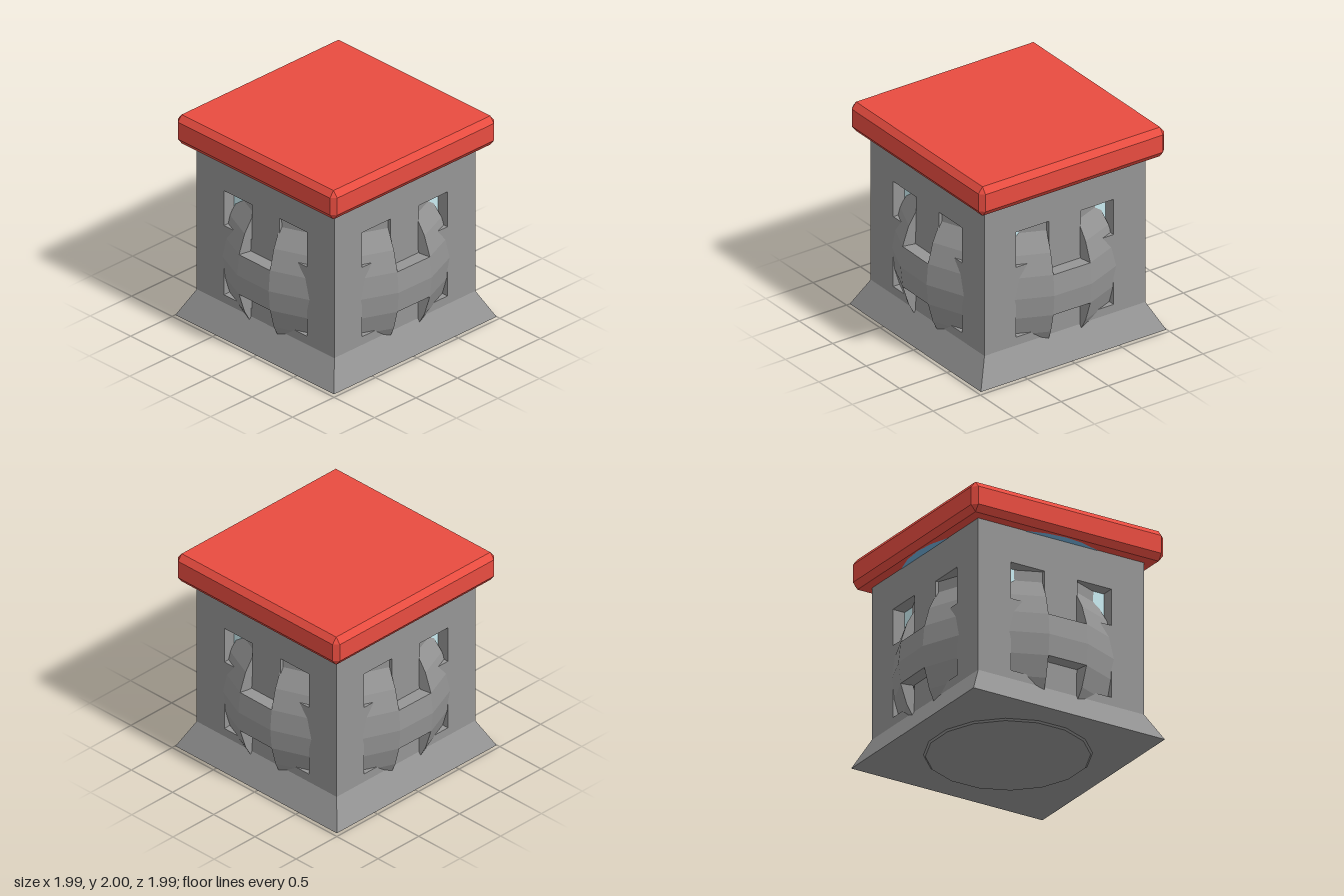
import * as THREE from 'three';
import { ConvexGeometry } from 'three/addons/geometries/ConvexGeometry.js';

const mat = (color, side = THREE.FrontSide) =>
  new THREE.MeshStandardMaterial({ color, side, flatShading: true });
const grey = mat(0x959595);
const greyDouble = mat(0x959595, THREE.DoubleSide);
const red = mat(0xe84c40);
const glass = mat(0xc9ebf1);
const blue = mat(0x74b4e0);

const STEP = Math.PI / 8; // one of the 16 facets of the round cage
const R = 1.01, INNER = 0.9, CENTRE_Y = 0.72;

function add(parent, name, geometry, material, y = 0) {
  const mesh = new THREE.Mesh(geometry, material);
  mesh.name = name;
  mesh.position.y = y;
  parent.add(mesh);
  return mesh;
}

// Square frustum with given half widths
function frustum(top, bottom, height) {
  return new THREE.CylinderGeometry(top * Math.SQRT2, bottom * Math.SQRT2, height, 4)
    .rotateY(Math.PI / 4);
}

// Point on the sphere profile, k half-facets above the equator
const arc = (radius, k) => new THREE.Vector2(
  radius * Math.cos(k * STEP / 2), CENTRE_Y + radius * Math.sin(k * STEP / 2));

// Wall panel with four square windows
function wallGeometry() {
  const shape = new THREE.Shape([[-0.85, 0.2], [0.85, 0.2], [0.85, 1.72], [-0.85, 1.72]]
    .map(([x, y]) => new THREE.Vector2(x, y)));
  for (const x of [-0.515, 0.17]) for (const y of [0.35, 1.035]) {
    const w = 0.345;
    shape.holes.push(new THREE.Path([[x, y], [x, y + w], [x + w, y + w], [x + w, y]]
      .map(([a, b]) => new THREE.Vector2(a, b))));
  }
  return new THREE.ExtrudeGeometry(shape, { depth: 0.12, bevelEnabled: false })
    .translate(0, 0, 0.73);
}

// One upright rib: a single lathe facet closed with flat side caps
function addRib(parent, start, profile) {
  const rib = new THREE.Group();
  rib.name = 'cageRib';
  add(rib, 'ribBody', new THREE.LatheGeometry([...profile, profile[0]], 1, start, STEP), greyDouble);
  for (const phi of [start, start + STEP]) {
    add(rib, 'ribSide', new THREE.ShapeGeometry(new THREE.Shape(profile)), greyDouble)
      .rotation.y = phi - Math.PI / 2;
  }
  parent.add(rib);
}

// Square slab with all edges and corners chamfered
function roofGeometry() {
  const half = new THREE.Vector3(0.99, 0.1425, 0.983);
  const cut = new THREE.Vector3(0.045, 0.058, 0.045);
  const points = [];
  for (const sx of [-1, 1]) for (const sy of [-1, 1]) for (const sz of [-1, 1]) {
    for (const axis of ['x', 'y', 'z']) {
      const p = half.clone().sub(cut);
      p[axis] = half[axis];
      points.push(p.multiply(new THREE.Vector3(sx, sy, sz)));
    }
  }
  return new ConvexGeometry(points);
}

export function createModel() {
  const model = new THREE.Group();
  model.name = 'lanternTower';

  // Flared foot
  add(model, 'base', frustum(0.85, 0.98, 0.255), grey, 0.1425);

  // Four window walls
  const wall = wallGeometry();
  for (let i = 0; i < 4; i++) add(model, 'wall', wall, grey).rotation.y = i * Math.PI / 2;

  // Glass box behind the windows
  add(model, 'glass', new THREE.BoxGeometry(1.45, 1.4, 1.45), glass, 0.98);

  // Round cage: eight ribs, a belt and the plate it stands on
  const cage = new THREE.Group();
  cage.name = 'cage';
  cage.rotation.y = -0.012;
  const ribProfile = [-4, -3, -2, -1, 0, 1, 2, 3].map(k => arc(R, k));
  ribProfile.push(new THREE.Vector2(0.85, 1.71), new THREE.Vector2(0.68, 1.71));
  for (let k = 3; k >= -4; k--) ribProfile.push(arc(INNER, k));
  for (let i = 0; i < 8; i++) addRib(cage, STEP / 2 + i * 2 * STEP, ribProfile);

  const belt = [-1, 0, 1].map(k => arc(R, k));
  belt.push(new THREE.Vector2(0.8, belt[2].y), new THREE.Vector2(0.8, belt[0].y), belt[0]);
  add(cage, 'cageBelt', new THREE.LatheGeometry(belt, 16, STEP / 2), grey);
  add(cage, 'bottomPlate',
    new THREE.CylinderGeometry(0.78, 0.714, 0.06, 16).rotateY(STEP / 2), grey, 0.03);
  model.add(cage);

  // Blue disc just under the roof
  add(model, 'topDisc',
    new THREE.CylinderGeometry(0.91, 0.93, 0.006, 32), blue, 1.714);

  add(model, 'roof', roofGeometry(), red, 1.8575);
  return model;
}
